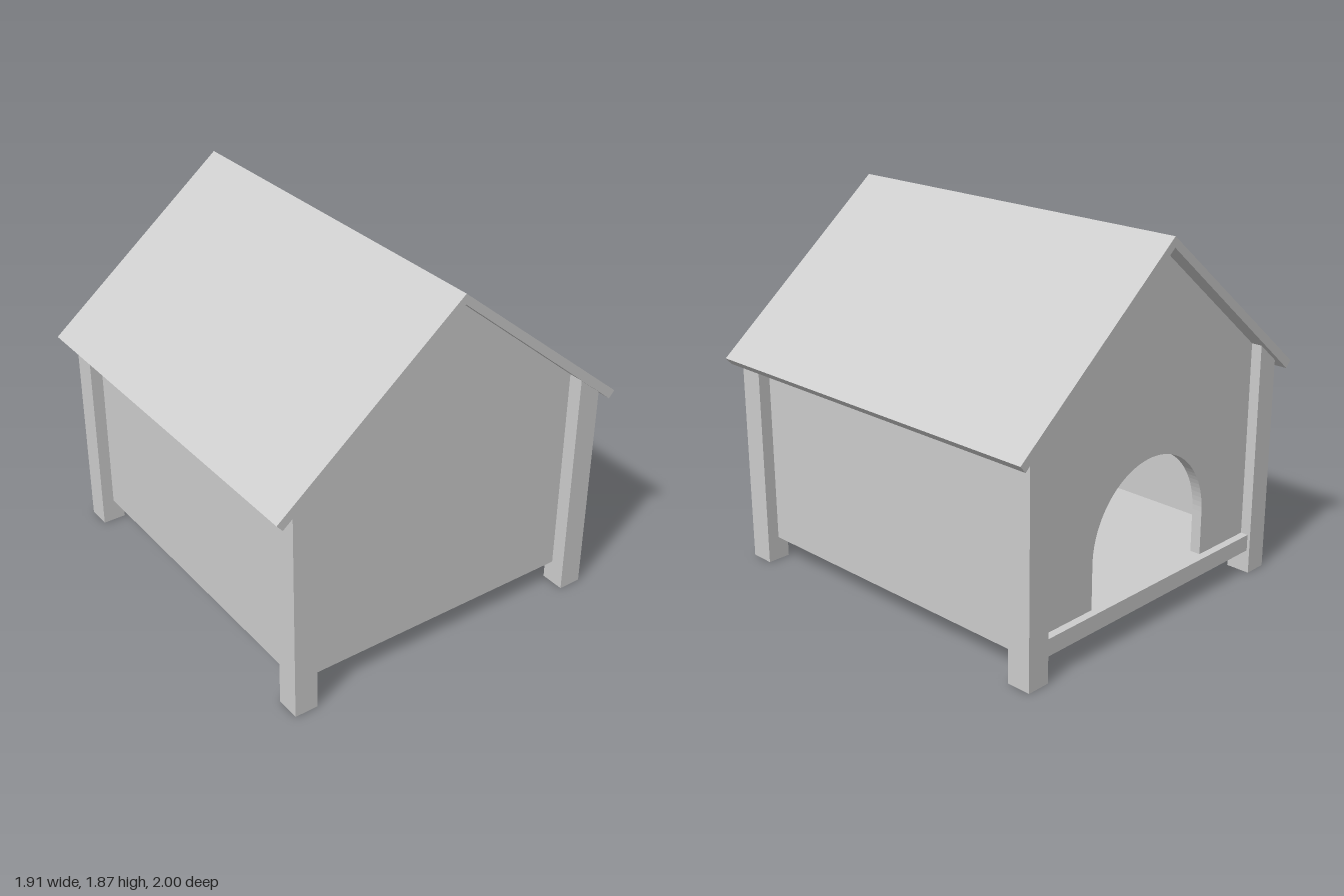
import * as THREE from 'three';

const RIDGE = 1.82, SLOPE = 0.827;
const roofUnder = (x) => RIDGE - SLOPE * Math.abs(x);

export function createModel() {
  const model = new THREE.Group();
  const mat = new THREE.MeshStandardMaterial({ color: 0xcccccc, flatShading: true });
  const thin = mat.clone();
  thin.side = THREE.DoubleSide;

  const add = (name, geometry, material = mat) => {
    const mesh = new THREE.Mesh(geometry, material);
    mesh.name = name;
    model.add(mesh);
    return mesh;
  };

  // Box from its limits; a sloped top follows the underside of the roof
  const box = (x0, x1, y0, y1, z0, z1, slopedTop = false) => {
    const g = new THREE.BoxGeometry(x1 - x0, y1 - y0, z1 - z0);
    g.translate((x0 + x1) / 2, (y0 + y1) / 2, (z0 + z1) / 2);
    if (slopedTop) {
      const p = g.attributes.position;
      for (let i = 0; i < p.count; i++) {
        if (p.getY(i) > (y0 + y1) / 2) p.setY(i, roofUnder(p.getX(i)));
      }
      g.computeVertexNormals();
    }
    return g;
  };

  const extrude = (shape, z0, z1) =>
    new THREE.ExtrudeGeometry(shape, { depth: z1 - z0, bevelEnabled: false, curveSegments: 24 }).translate(0, 0, z0);

  // Corner posts, hollow and open underneath
  for (const side of [1, -1]) {
    const [x0, x1] = side > 0 ? [0.745, 0.866] : [-0.866, -0.745];
    const label = side > 0 ? 'left' : 'right';
    for (const [end, z0, z1] of [['Front', 0.86, 0.985], ['Back', -0.97, -0.843]]) {
      const g = box(x0, x1, 0, 1, z0, z1, true);
      const index = Array.from(g.index.array);
      index.splice(18, 6); // drop the bottom face
      g.setIndex(index);
      g.clearGroups();
      add(label + end + 'Post', g, thin);
    }
    // Side wall set between the posts
    const [w0, w1] = side > 0 ? [0.75, 0.803] : [-0.803, -0.75];
    add(label + 'Wall', box(w0, w1, 0.12, 1, -0.843, 0.86, true));
  }

  // Plain gable wall
  const W = 0.745;
  const gable = (bottom) => [[W, bottom], [W, roofUnder(W)], [0, RIDGE], [-W, roofUnder(W)], [-W, bottom]];
  const toVec = (pts) => pts.map(([x, y]) => new THREE.Vector2(x, y));
  add('frontWall', extrude(new THREE.Shape(toVec(gable(0.12))), 0.855, 0.91));

  // Gable wall with the arched doorway
  const sill = 0.205, R = 0.4;
  const doorWall = new THREE.Shape(toVec(gable(sill)));
  doorWall.lineTo(-R, sill);
  doorWall.lineTo(-R, 0.43);
  doorWall.absarc(0, 0.43, R, Math.PI, 0, true);
  doorWall.lineTo(R, sill);
  doorWall.closePath();
  add('doorWall', extrude(doorWall, -0.915, -0.86));

  // Sill rail below the doorway, and the raised floor
  add('sillRail', box(-W, W, 0.12, sill, -0.955, -0.86));
  add('floor', box(-0.75, 0.75, 0.187, sill, -0.86, 0.855));

  // Pitched roof, one panel per side meeting at the ridge
  for (const side of [1, -1]) {
    const pts = [[0, RIDGE], [0.925, 1.055], [0.955, 1.09], [0, 1.87]];
    const panel = new THREE.Shape(toVec(pts.map(([x, y]) => [side * x, y])));
    add(side > 0 ? 'leftRoofPanel' : 'rightRoofPanel', extrude(panel, -1, 1));
  }

  return model;
}
